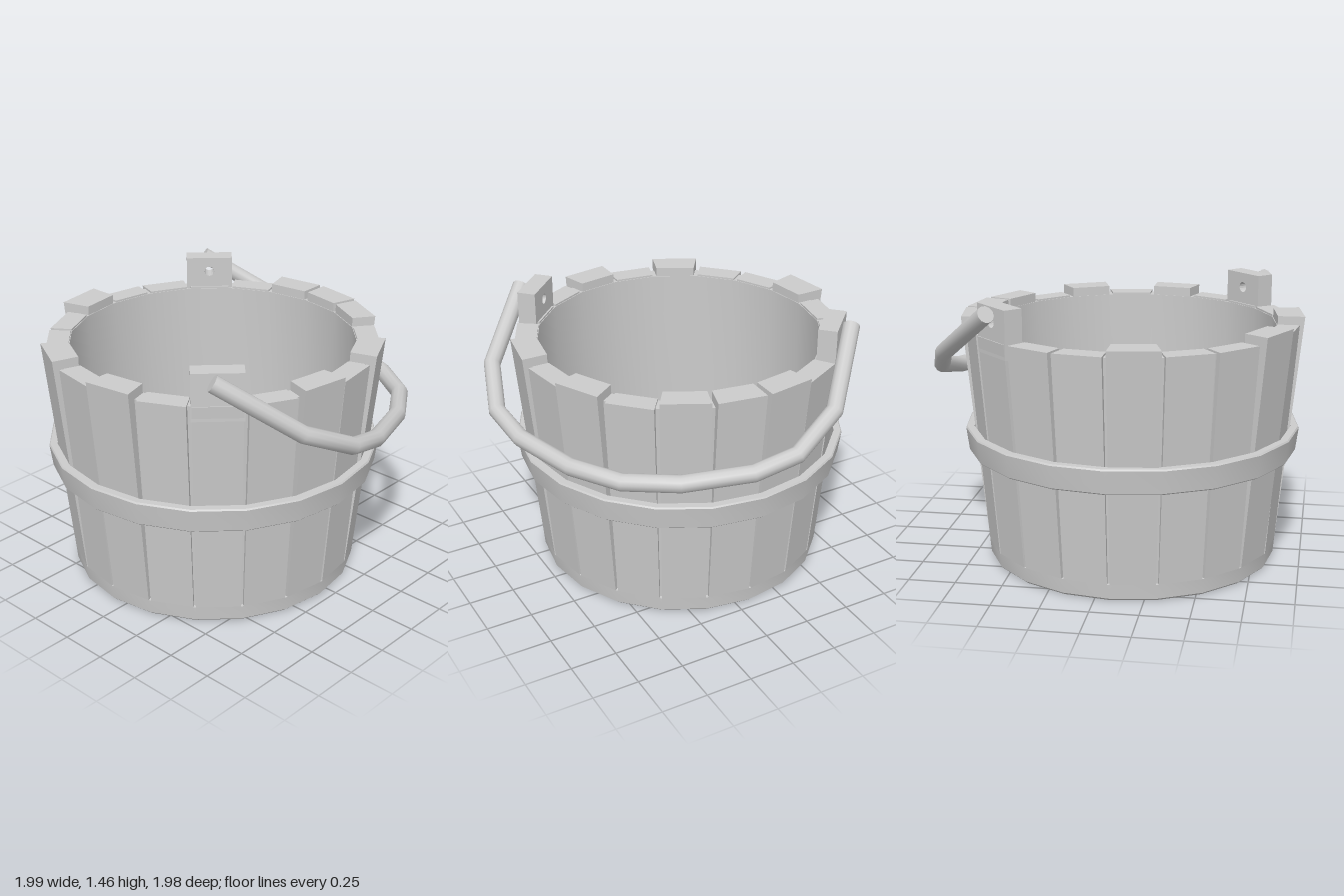
import * as THREE from 'three';
import { toCreasedNormals } from 'three/addons/utils/BufferGeometryUtils.js';

const STAVES = 20;
const PITCH = (Math.PI * 2) / STAVES;
const EARS = [2, 12];
// Staves that stand proud of the rim, with their outer radius at the top
const TALL = { 0: 0.908, 4: 0.903, 6: 0.908, 8: 0.895, 9: 0.905, 10: 0.905, 15: 0.925, 18: 0.908 };

const material = new THREE.MeshStandardMaterial({ color: 0xcccccc });

function addMesh(parent, name, geometry) {
  const mesh = new THREE.Mesh(geometry, material);
  mesh.name = name;
  parent.add(mesh);
  return mesh;
}

// Twenty-sided turned part from a profile of [radius, height] points
function turned(profile) {
  const points = profile.map(([r, y]) => new THREE.Vector2(r, y));
  return toCreasedNormals(new THREE.LatheGeometry(points, STAVES), 0.5);
}

// One tapered plank between two angles, leaning outwards
function staveGeometry(index, topRadius, topY) {
  const box = new THREE.BoxGeometry(1, 1, 1);
  const pos = box.attributes.position;
  for (let i = 0; i < pos.count; i++) {
    const top = pos.getY(i) > 0;
    const gap = top ? 0.015 : 0.009;
    const angle = (index + 0.5) * PITCH + Math.sign(pos.getX(i)) * (PITCH / 2 - gap);
    const r = pos.getZ(i) < 0 ? 0.766 : top ? topRadius : 0.785;
    pos.setXYZ(i, r * Math.sin(angle), top ? topY : 0.09, r * Math.cos(angle));
  }
  const flat = box.toNonIndexed();
  flat.computeVertexNormals();
  return flat;
}

// Upright lug with a round hole for the handle
function earGeometry() {
  const shape = new THREE.Shape();
  shape.moveTo(-0.13, 1.2);
  shape.lineTo(0.13, 1.2);
  shape.lineTo(0.13, 1.45);
  shape.lineTo(-0.13, 1.45);
  shape.closePath();
  const hole = new THREE.Path();
  hole.absarc(0, 1.37, 0.028, 0, Math.PI * 2, true);
  shape.holes.push(hole);
  return new THREE.ExtrudeGeometry(shape, { depth: 0.1, bevelEnabled: false, curveSegments: 8 });
}

// Path whose tube rings fall exactly on the given points
class BentPath extends THREE.Curve {
  constructor(points) {
    super();
    this.points = points;
  }
  index(u) {
    return Math.round(u * (this.points.length - 1));
  }
  getPoint(u, target = new THREE.Vector3()) {
    return target.copy(this.points[this.index(u)]);
  }
  getPointAt(u, target) {
    return this.getPoint(u, target);
  }
  getTangentAt(u, target = new THREE.Vector3()) {
    const i = this.index(u), p = this.points, last = p.length - 1;
    target.set(0, 0, 0);
    if (i > 0) target.add(p[i].clone().sub(p[i - 1]).normalize());
    if (i < last) target.add(p[i + 1].clone().sub(p[i]).normalize());
    return target.normalize();
  }
  getTangent(u, target) {
    return this.getTangentAt(u, target);
  }
}

function createHandle() {
  const handle = new THREE.Group();
  handle.name = 'handle';
  // Half of the bail, mirrored across the diagonal
  const half = [
    [0.55, 1.42, 0.74], [0.86, 1.15, 0.44], [0.95, 1.02, 0.17],
    [0.92, 0.965, -0.06], [0.80, 0.94, -0.40],
  ].map((p) => new THREE.Vector3(...p));
  const mirrored = half.map((p) => new THREE.Vector3(-p.z, p.y, -p.x)).reverse();
  const path = new BentPath([...half, new THREE.Vector3(0.64, 0.935, -0.64), ...mirrored]);
  addMesh(handle, 'handleBar', new THREE.TubeGeometry(path, path.points.length - 1, 0.045, 12));
  for (const u of [0, 1]) {
    const cap = addMesh(handle, 'handleEnd', new THREE.CircleGeometry(0.045, 12));
    cap.position.copy(path.getPointAt(u));
    const outward = path.getTangentAt(u).multiplyScalar(u ? 1 : -1);
    cap.quaternion.setFromUnitVectors(new THREE.Vector3(0, 0, 1), outward);
  }
  return handle;
}

export function createModel() {
  const model = new THREE.Group();
  model.name = 'bucket';

  const tub = new THREE.Group();
  tub.name = 'tub';
  tub.position.set(-0.075, 0, 0.075);
  model.add(tub);

  // Base, inner wall and floor
  addMesh(tub, 'core', turned([
    [0, 0], [0.765, 0], [0.778, 0.012], [0.785, 0.09], [0.765, 0.09],
    [0.85, 1.27], [0.764, 1.27], [0.764, 0.06], [0, 0.06],
  ]));

  // Planks around the wall
  for (let i = 0; i < STAVES; i++) {
    const tall = TALL[i];
    addMesh(tub, 'stave', staveGeometry(i, tall ?? 0.882, tall ? 1.32 : 1.28));
  }

  // Band around the middle
  addMesh(tub, 'hoop', turned([
    [0.845, 0.6], [0.872, 0.595], [0.88, 0.602], [0.896, 0.722], [0.89, 0.73], [0.852, 0.73], [0.845, 0.6],
  ]));

  // Pair of opposite lugs
  for (const i of EARS) {
    const ear = addMesh(tub, 'ear', earGeometry());
    const angle = (i + 0.5) * PITCH;
    ear.rotation.y = angle;
    ear.position.set(0.768 * Math.sin(angle), 0, 0.768 * Math.cos(angle));
  }

  model.add(createHandle());
  return model;
}
